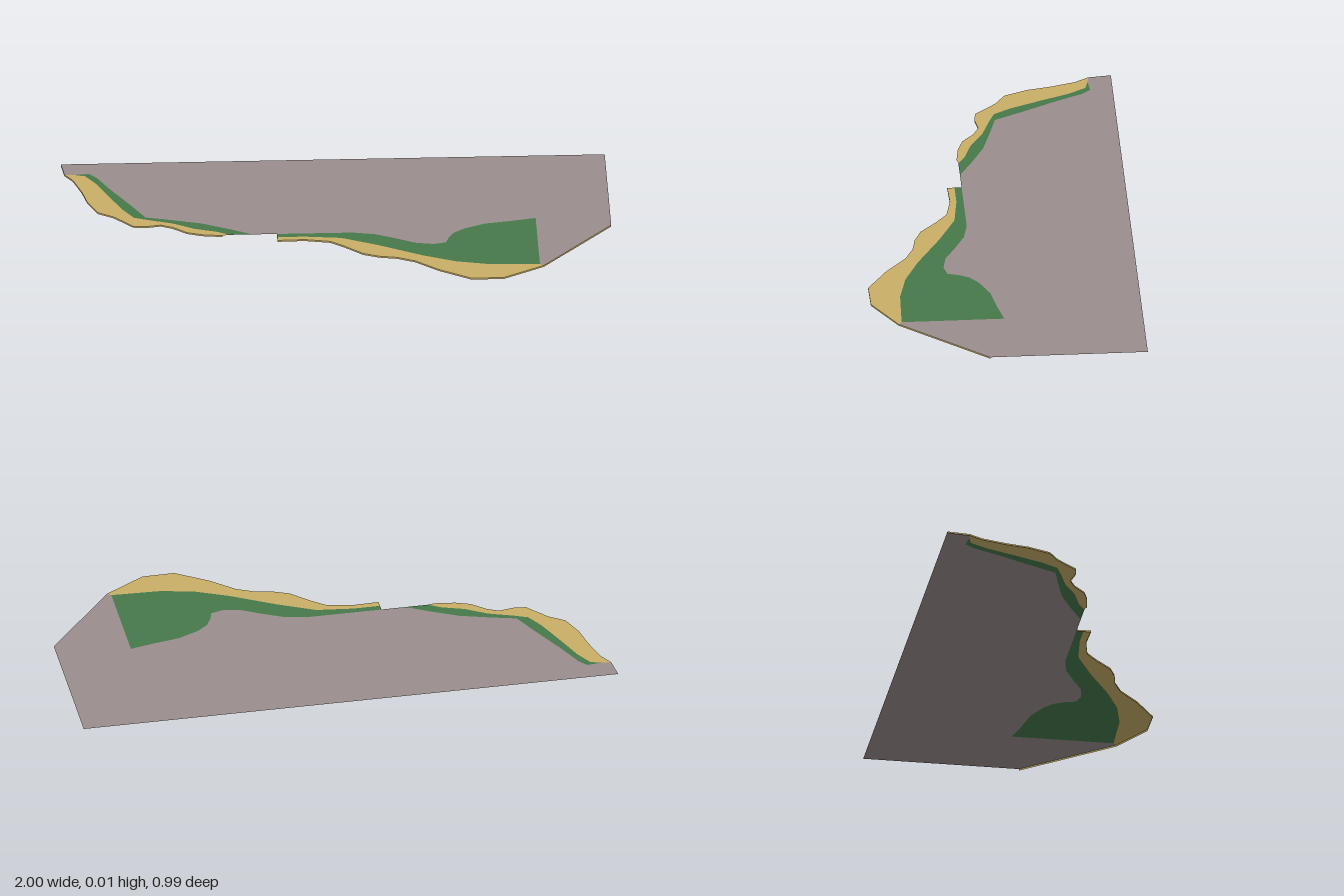
import * as THREE from 'three';

const H = 0.006; // height of the sheet above the ground

const material = (name, color) =>
  new THREE.MeshStandardMaterial({ name, color, side: THREE.DoubleSide });

export function createModel() {
  const group = new THREE.Group();
  group.name = 'coastalTerrain';
  const rock = material('rockGrey', 0x9a8e8d);
  const grass = material('grassGreen', 0x47794b);
  const sand = material('sandYellow', 0xc9af67);

  // Lines running from west to east, as [x, z]
  const westCoast = [[-1, -0.5], [-0.99, -0.415], [-0.96, -0.365], [-0.932, -0.27], [-0.915, -0.185],
    [-0.88, -0.1], [-0.825, -0.063], [-0.782, -0.015], [-0.755, 0.017], [-0.71, 0.022], [-0.653, 0.012],
    [-0.61, 0.033], [-0.56, 0.077], [-0.505, 0.097], [-0.43, 0.107]];
  const westBeachTop = [[-0.99, -0.415], [-0.958, -0.412], [-0.915, -0.4], [-0.878, -0.337], [-0.835, -0.23],
    [-0.787, -0.117], [-0.75, -0.053], [-0.7, -0.032], [-0.61, 0], [-0.53, 0.048], [-0.45, 0.075], [-0.405, 0.102]];
  const westGrassTop = [[-0.958, -0.412], [-0.9, -0.417], [-0.873, -0.385], [-0.825, -0.283], [-0.76, -0.16],
    [-0.707, -0.053], [-0.61, -0.027], [-0.503, 0.005], [-0.396, 0.059], [-0.32, 0.102]];
  const eastCoast = [[-0.23, 0.102], [-0.23, 0.155], [-0.13, 0.152], [-0.037, 0.171], [0.016, 0.214],
    [0.08, 0.275], [0.139, 0.3], [0.203, 0.312], [0.268, 0.343], [0.353, 0.418], [0.47, 0.494],
    [0.589, 0.492], [0.739, 0.4], [1, 0.08]];
  const eastBeachTop = [[-0.23, 0.128], [-0.13, 0.128], [0.005, 0.144], [0.139, 0.209], [0.3, 0.3],
    [0.418, 0.353], [0.54, 0.381], [0.725, 0.388]];
  const eastGrassTop = [[-0.23, 0.102], [0.048, 0.102], [0.128, 0.118], [0.203, 0.155], [0.278, 0.196],
    [0.343, 0.208], [0.388, 0.196], [0.4, 0.155], [0.42, 0.118], [0.46, 0.085], [0.54, 0.048],
    [0.63, 0.032], [0.725, 0.01]];

  // A flat piece of land bounded by a list of points
  const sheet = (name, mat, points) => {
    const shape = new THREE.Shape(points.map(([x, z]) => new THREE.Vector2(x, -z)));
    const geometry = new THREE.ShapeGeometry(shape).rotateX(-Math.PI / 2).translate(0, H, 0);
    const mesh = new THREE.Mesh(geometry, mat);
    mesh.name = name;
    group.add(mesh);
  };

  // A low bank dropping from the shoreline to the ground
  const bank = (name, points) => {
    const positions = [];
    for (let i = 0; i < points.length - 1; i++) {
      const [ax, az] = points[i], [bx, bz] = points[i + 1];
      positions.push(ax, H, az, ax, 0, az, bx, 0, bz, ax, H, az, bx, 0, bz, bx, H, bz);
    }
    const geometry = new THREE.BufferGeometry();
    geometry.setAttribute('position', new THREE.Float32BufferAttribute(positions, 3));
    geometry.computeVertexNormals();
    const mesh = new THREE.Mesh(geometry, sand);
    mesh.name = name;
    group.add(mesh);
  };

  const back = (line) => [...line].reverse();

  // Beaches between the shoreline and the grass
  sheet('westBeach', sand, [...westCoast.slice(1), [-0.405, 0.102], ...back(westBeachTop).slice(1, -1)]);
  sheet('eastBeach', sand, [...eastCoast.slice(1, -1), ...back(eastBeachTop)]);

  // Grass strips
  sheet('westGrass', grass, [...westBeachTop.slice(1), ...back(westGrassTop).slice(0, -1)]);
  sheet('eastGrass', grass, [...eastBeachTop, ...back(eastGrassTop)]);

  // Rocky inland plateau
  sheet('plateau', rock, [[-1, -0.5], [-0.99, -0.415], ...westGrassTop, ...eastGrassTop,
    [0.725, 0.388], [0.739, 0.4], [1, 0.08], [1, -0.5]]);

  // Shore banks
  bank('westBank', westCoast);
  bank('eastBank', eastCoast);
  return group;
}
